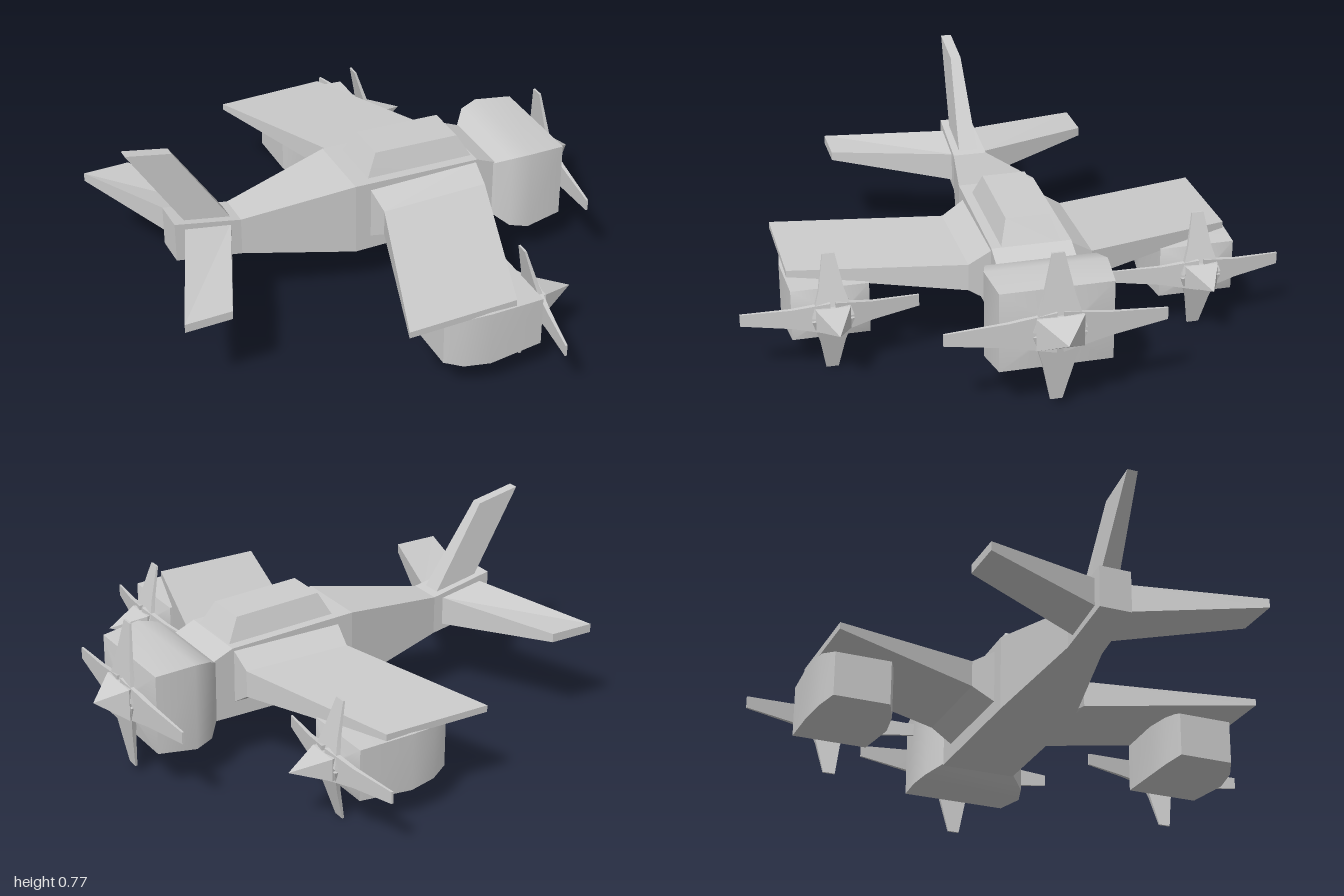
import * as THREE from 'three';
import { toCreasedNormals } from 'three/addons/utils/BufferGeometryUtils.js';

const MID = -0.02; // z of the fuselage centre line
const material = new THREE.MeshStandardMaterial({ color: 0xcccccc, side: THREE.DoubleSide });

// Skin four-cornered sections one after another, cap both ends, face outward
function loft(name, sections, crease = 0.3) {
  const tris = [];
  const quad = (a, b, c, d) => tris.push([a, b, c], [a, c, d]);
  for (let s = 0; s < sections.length - 1; s++) {
    for (let i = 0; i < 4; i++) {
      const j = (i + 1) % 4;
      quad(sections[s][i], sections[s][j], sections[s + 1][j], sections[s + 1][i]);
    }
  }
  quad(...[...sections[0]].reverse());
  quad(...sections[sections.length - 1]);
  const v = (p) => new THREE.Vector3(...p);
  let volume = 0;
  for (const [a, b, c] of tris) volume += v(a).dot(v(b).cross(v(c)));
  if (volume < 0) tris.forEach((t) => t.reverse());
  // drop collapsed triangles at pointed ends
  const solid = tris.filter(([a, b, c]) =>
    v(b).sub(v(a)).cross(v(c).sub(v(a))).length() > 1e-9);
  const geo = new THREE.BufferGeometry();
  geo.setAttribute('position', new THREE.Float32BufferAttribute(solid.flat(2), 3));
  const mesh = new THREE.Mesh(toCreasedNormals(geo, crease), material);
  mesh.name = name;
  return mesh;
}

// Upright rectangle across the x axis
const rect = (x, y0, y1, half, z = 0) => [
  [x, y0, z - half], [x, y0, z + half], [x, y1, z + half], [x, y1, z - half]];

// Aerofoil section at a given z: rear edge, front edge, lower and upper heights
const rib = (z, xr, xf, rearLow, rearTop, frontLow = rearLow, frontTop = rearTop) => [
  [xr, rearLow, z], [xf, frontLow, z], [xf, frontTop, z], [xr, rearTop, z]];

// Four swept-back blades with a pointed spinner; hub at the local origin
function propeller(name, rY, rZ, sweep, noseLength, spinW, spinH, rootW) {
  const g = new THREE.Group();
  g.name = name;
  for (const side of [1, -1]) {
    for (const vertical of [true, false]) {
      const r = vertical ? rY : rZ;
      const station = (t, half, thick) => {
        const d = side * r * t;
        const x = -sweep * t;
        return [[x, -half], [x, half], [x - thick, half], [x - thick, -half]]
          .map(([px, w]) => (vertical ? [px, d, w] : [px, w, d]));
      };
      const w = vertical ? rootW : rootW * 0.8;
      g.add(loft('blade', [
        station(0.03, w, 0.02), station(0.45, w * 0.6, 0.015), station(1, 0.022, 0.008)]));
    }
  }
  g.add(loft('spinner', [rect(-0.045, -spinH, spinH, spinW * 0.8),
    rect(0, -spinH, spinH, spinW), rect(noseLength, 0, 0, 0)]));
  return g;
}

export function createModel() {
  const model = new THREE.Group();
  model.name = 'propellerPlane';

  // Fuselage, tapering to the tail
  model.add(loft('fuselage', [
    rect(-0.75, 0.315, 0.47, 0.06, MID),
    rect(-0.5, 0.272, 0.42, 0.065, MID),
    rect(-0.08, 0.198, 0.485, 0.143, MID),
    rect(0.42, 0.195, 0.463, 0.145, MID),
    rect(0.5, 0.195, 0.428, 0.145, MID)], 0.05));

  // Cockpit canopy
  const deck = (y, xr, xf, half, yf) => [
    [xr, y, MID - half], [xf, yf, MID - half], [xf, yf, MID + half], [xr, y, MID + half]];
  model.add(loft('canopy', [deck(0.47, -0.02, 0.42, 0.112, 0.45),
    deck(0.565, 0.03, 0.365, 0.08, 0.548)], 0.05));

  // Nose engine cowl and propeller
  model.add(loft('noseCowl', [
    rect(0.49, 0.2, 0.425, 0.145, MID),
    rect(0.54, 0.164, 0.463, 0.2, MID),
    rect(0.61, 0.15, 0.475, 0.22, MID),
    rect(0.755, 0.163, 0.46, 0.203, MID),
    rect(0.79, 0.3, 0.325, 0.02, MID)], 0.7));
  const noseProp = propeller('nosePropeller', 0.28, 0.395, 0.042, 0.1, 0.085, 0.06, 0.095);
  noseProp.position.set(0.8, 0.312, MID);
  model.add(noseProp);

  // Mirrored wings, tailplanes and wing engines
  for (const side of [1, -1]) {
    const label = side > 0 ? 'left' : 'right';
    const out = (d) => MID + side * d;

    model.add(loft(label + 'WingRoot', [
      rib(out(0.14), -0.02, 0.415, 0.25, 0.455),
      rib(out(0.225), -0.005, 0.41, 0.305, 0.405)], 0.05));
    model.add(loft(label + 'Wing', [
      rib(out(0.225), -0.005, 0.41, 0.305, 0.405),
      rib(side * 0.818, -0.215, 0.2, 0.33, 0.355)], 0.05));
    model.add(loft(label + 'Tailplane', [
      rib(out(0.055), -0.71, -0.535, 0.335, 0.44, 0.3, 0.41),
      rib(out(0.512), -0.895, -0.72, 0.357, 0.39, 0.357, 0.39)], 0.05));

    // Engine pod hung beneath the wing
    const z = side * 0.68;
    model.add(loft(label + 'EnginePod', [
      rect(-0.065, 0.148, 0.315, 0.105, z),
      rect(0.0, 0.13, 0.33, 0.135, z),
      rect(0.1, 0.12, 0.335, 0.15, z),
      rect(0.305, 0.133, 0.325, 0.14, z),
      rect(0.35, 0.22, 0.24, 0.02, z)], 0.7));
    const prop = propeller(label + 'Propeller', 0.225, 0.32, 0.066, 0.135, 0.062, 0.042, 0.075);
    prop.position.set(0.365, 0.23, z);
    model.add(prop);
  }

  // Swept tail fin
  const slice = (rear, front, half) => [
    [rear[0], rear[1], MID - half], [front[0], front[1], MID - half],
    [front[0], front[1], MID + half], [rear[0], rear[1], MID + half]];
  model.add(loft('tailFin', [slice([-0.68, 0.42], [-0.52, 0.41], 0.037),
    slice([-0.9, 0.775], [-0.73, 0.74], 0.02)], 0.05));

  return model;
}
